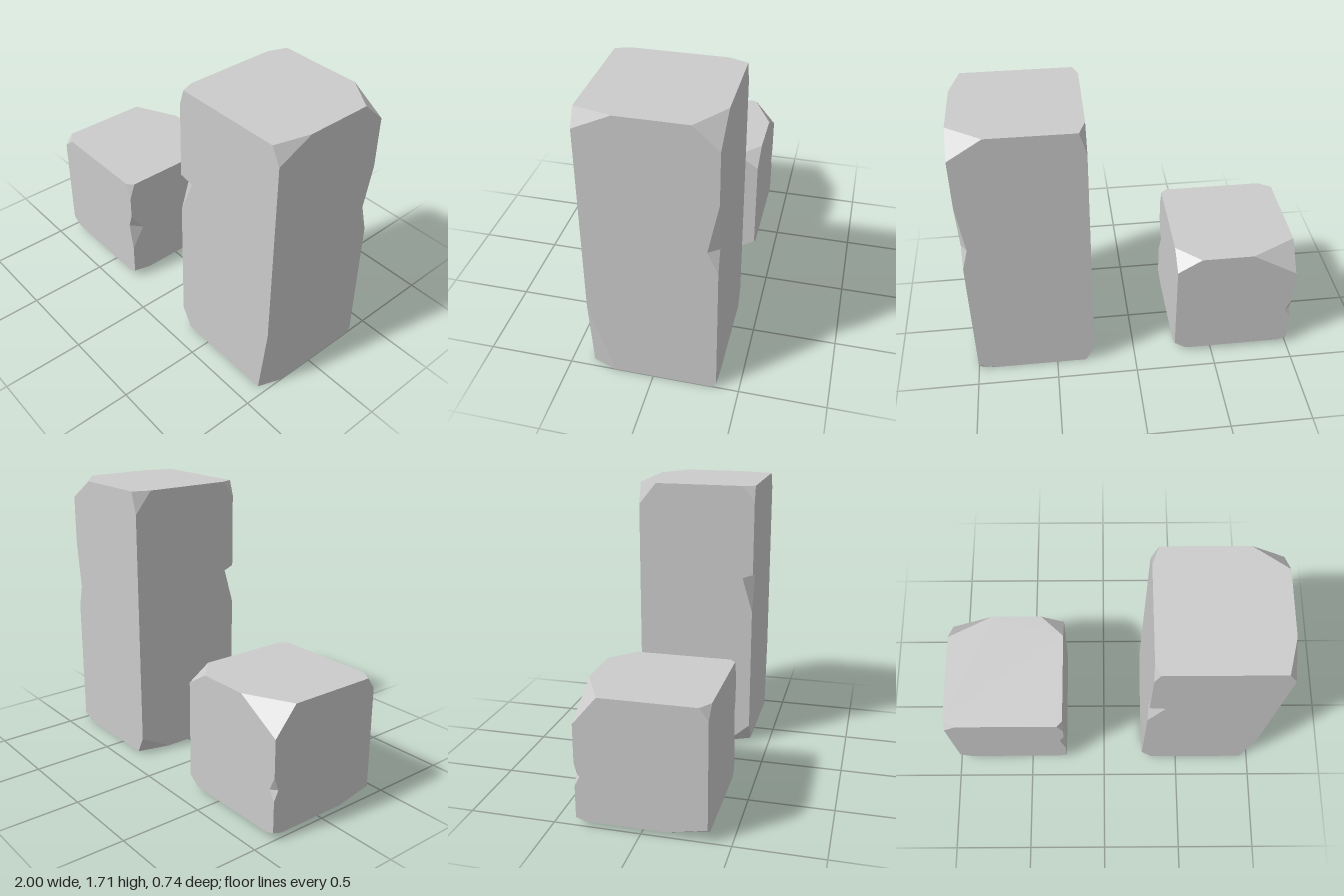
import * as THREE from 'three';

const material = new THREE.MeshStandardMaterial({ color: 0xcccccc, flatShading: true });

// Block with every corner sliced off and a few vertical edges notched.
// corners: key 'xyz' signs -> cut length along x, y, z.
// notches: key 'xz' signs -> y range [hi, lo], dent on the z face [dx, y], dent on the x face [dz, y].
function chippedBlock(name, min, max, corners, notches) {
  const positions = [];
  const sign = (v) => (v > 0 ? '+' : '-');
  const corner = (s) => s.map((v, i) => (v > 0 ? max[i] : min[i]));
  const cutPoint = (s, axis) => {
    const p = corner(s);
    p[axis] -= s[axis] * corners[s.map(sign).join('')][axis];
    return p;
  };

  // Add a triangle, wound so that it faces along the outward hint
  const addTriangle = (a, b, c, outward) => {
    const [A, B, C] = [a, b, c].map((p) => new THREE.Vector3(...p));
    const n = B.clone().sub(A).cross(C.clone().sub(A));
    const order = n.dot(new THREE.Vector3(...outward)) < 0 ? [a, c, b] : [a, b, c];
    positions.push(...order.flat());
  };

  const notchPoints = (sx, sz) => {
    const notch = notches[sign(sx) + sign(sz)];
    if (!notch) return null;
    const [hi, lo, onZ, onX] = notch;
    const [x, , z] = corner([sx, 1, sz]);
    return {
      top: [x, hi, z], bottom: [x, lo, z],
      onZ: [x - sx * onZ[0], onZ[1], z], onX: [x, onX[1], z - sz * onX[0]],
    };
  };

  // Six large faces, outlined around their cut corners and notches
  for (let axis = 0; axis < 3; axis++) {
    const u = (axis + 1) % 3, v = (axis + 2) % 3;
    for (const side of [-1, 1]) {
      const outline = [];
      [[-1, -1], [1, -1], [1, 1], [-1, 1]].forEach(([su, sv], k) => {
        const s = [];
        s[axis] = side; s[u] = su; s[v] = sv;
        const arrive = k % 2 ? u : v, leave = k % 2 ? v : u;
        outline.push(cutPoint(s, arrive), cutPoint(s, leave));
        const n = leave === 1 && notchPoints(s[0], s[2]);
        if (n) {
          const dent = axis === 2 ? n.onZ : n.onX;
          outline.push(...(s[1] > 0 ? [n.top, dent, n.bottom] : [n.bottom, dent, n.top]));
        }
      });
      const flat = outline.map((p) => new THREE.Vector2(p[u], p[v]));
      const outward = [0, 0, 0];
      outward[axis] = side;
      for (const [a, b, c] of THREE.ShapeUtils.triangulateShape(flat, [])) {
        addTriangle(outline[a], outline[b], outline[c], outward);
      }
    }
  }

  // Corner facets and the two facets inside each notch
  for (const sx of [-1, 1]) for (const sz of [-1, 1]) {
    for (const sy of [-1, 1]) {
      const s = [sx, sy, sz];
      addTriangle(cutPoint(s, 0), cutPoint(s, 1), cutPoint(s, 2), s);
    }
    const n = notchPoints(sx, sz);
    if (n) {
      addTriangle(n.top, n.onZ, n.onX, [sx, 0, sz]);
      addTriangle(n.bottom, n.onZ, n.onX, [sx, 0, sz]);
    }
  }

  const geometry = new THREE.BufferGeometry();
  geometry.setAttribute('position', new THREE.Float32BufferAttribute(positions, 3));
  geometry.computeVertexNormals();
  const mesh = new THREE.Mesh(geometry, material);
  mesh.name = name;
  return mesh;
}

export function createModel() {
  const group = new THREE.Group();
  group.name = 'chippedStoneBlocks';

  // Tall pillar block
  group.add(chippedBlock('tallBlock', [0.26, 0, -0.37], [1, 1.71, 0.37], {
    '-++': [0.03, 0.095, 0.08], '+++': [0.053, 0.1, 0.21],
    '--+': [0.07, 0.12, 0.14], '+-+': [0.05, 0.465, 0.14],
    '-+-': [0.04, 0.135, 0.11], '++-': [0.2, 0.127, 0.14],
    '---': [0.055, 0.11, 0.21], '+--': [0.11, 0.03, 0.02],
  }, {
    '-+': [1.155, 0.91, [0.095, 1.14], [0.065, 1.13]],
    '+-': [1.276, 0.84, [0.037, 0.98], [0.06, 0.973]],
  }));

  // Small cube block
  group.add(chippedBlock('smallBlock', [-1, 0.03, -0.37], [-0.26, 0.77, 0.37], {
    '-++': [0.08, 0.07, 0.05], '+++': [0.035, 0.1, 0.035],
    '--+': [0.07, 0.045, 0.23], '+-+': [0.055, 0.03, 0.12],
    '-+-': [0.28, 0.165, 0.14], '++-': [0.145, 0.09, 0.135],
    '---': [0.055, 0.02, 0.06], '+--': [0.075, 0.05, 0.08],
  }, {
    '++': [0.53, 0.26, [0.03, 0.44], [0.085, 0.4]],
    '--': [0.38, 0.24, [0.037, 0.3], [0.03, 0.3]],
  }));

  return group;
}
